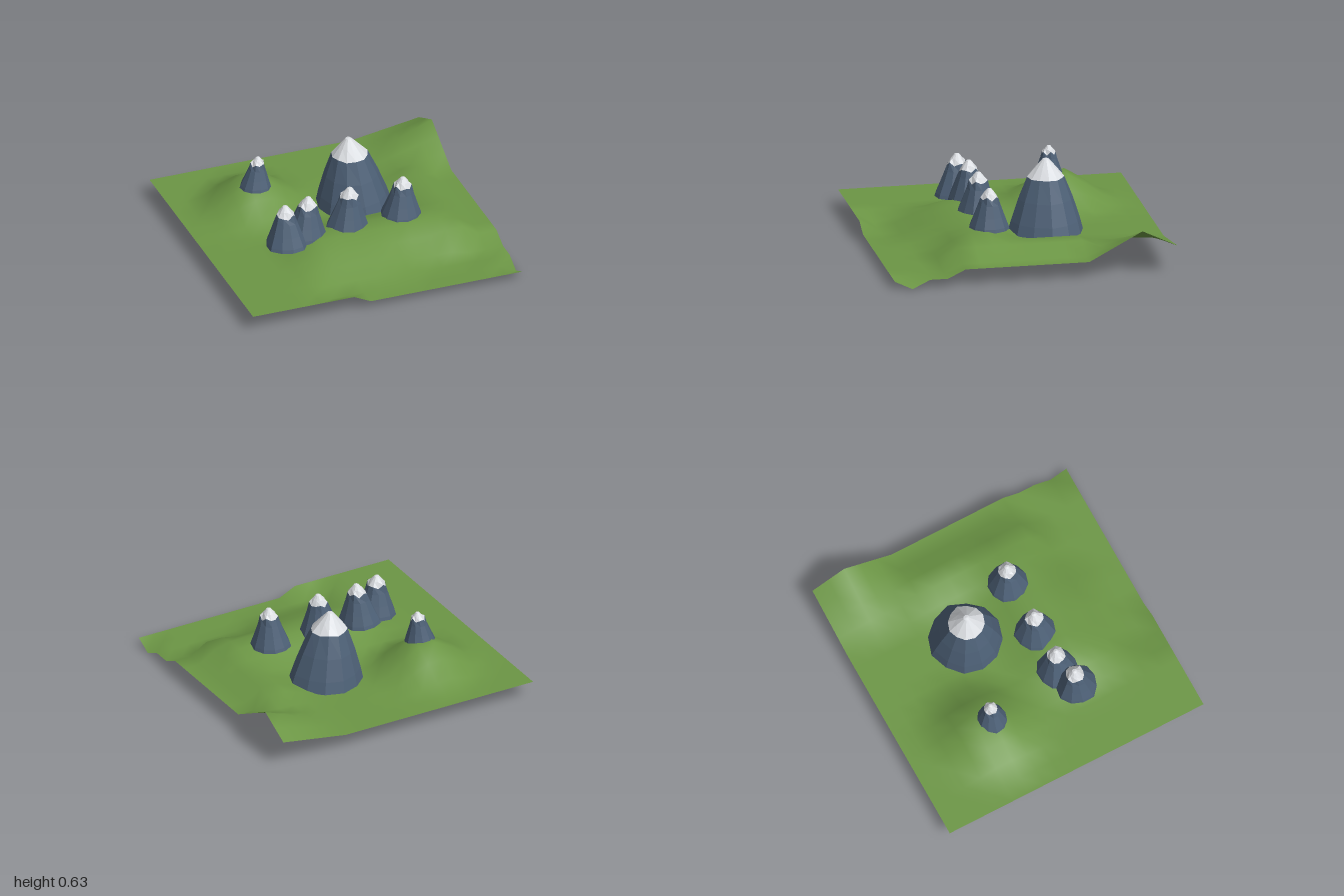
import * as THREE from 'three';

const grass = new THREE.MeshStandardMaterial({ color: 0x6c9645, side: THREE.DoubleSide });
const rock = new THREE.MeshStandardMaterial({ color: 0x4d6076 });
const snow = new THREE.MeshStandardMaterial({ color: 0xdadde1 });
grass.name = 'grass green';
rock.name = 'slate rock';
snow.name = 'snow white';

const GROUND = 0.12;
const ramp = (v, a, b) => THREE.MathUtils.clamp((v - a) / (b - a), 0, 1);
// 1 inside a rectangle, falling to 0 over the distance w outside it (wFront towards +z)
const plateau = (x, z, x0, x1, z0, z1, w, wFront = w) =>
  ramp(x, x0 - w, x0) * ramp(x, x1 + w, x1) * ramp(z, z0 - w, z0) * ramp(z, z1 + wFront, z1);

// Height of the land: raised shelf, side bank, hill, corner ridge, sunken front and a pit
function landHeight(x, z) {
  const shelf = 0.115 * plateau(x, z, -0.3, 0.62, 0.2, 0.37, 0.22, x < 0.2 ? 0.34 : 0.25);
  const bank = 0.08 * plateau(x, z, 0.58, 0.75, -0.42, 0.5, 0.125);
  const hill = 0.215 * ramp(Math.hypot(x + 0.45, z + 0.44), 0.38, 0.09);
  const ridgeSide = z > -0.75 ? ramp(z, -0.375, -0.75) : 1 - 0.6 * ramp(z, -0.75, -1);
  const ridge = 0.2 * ramp(x, 0.5, 1) * ridgeSide;
  const startX = z > 0.95 ? -0.25 : -0.5;
  const startZ = x < 0.3 ? 0.625 : 0.5;
  const hollow = 0.06 * ramp(x, startX, startX + 0.125) * ramp(z, startZ, startZ + (x > 0.7 ? 0.125 : 0.25));
  const pit = 0.06 * ramp(Math.hypot(x - 1, z - 0.875), 0.125, 0);
  return GROUND + Math.max(shelf, bank, hill, ridge) - hollow - pit;
}

function makeLand() {
  const geo = new THREE.PlaneGeometry(2, 2, 16, 16).rotateX(-Math.PI / 2);
  const p = geo.attributes.position;
  for (let i = 0; i < p.count; i++) p.setY(i, landHeight(p.getX(i), p.getZ(i)));
  geo.computeVertexNormals();
  const mesh = new THREE.Mesh(geo, grass);
  mesh.name = 'land';
  return mesh;
}

// Faceted lathe with an uneven outline; its axis leans towards the peak
function facetedLathe(profile, sides, shape, material, name) {
  const geo = new THREE.LatheGeometry(profile.map(([r, y]) => new THREE.Vector2(r, y)), sides);
  const p = geo.attributes.position;
  const rows = profile.length;
  for (let i = 0; i < p.count; i++) {
    const side = Math.floor(i / rows) % sides;
    const y = p.getY(i);
    const t = ramp(y, shape.base, shape.top);
    const k = 1 + 0.03 * Math.sin(side * 2.4 + shape.seed) + 0.02 * Math.sin(side * 4.1 + shape.seed * 3);
    // ragged snow line
    const onLine = Math.abs(y - shape.snowLine) < 1e-4;
    const jag = onLine ? shape.jag * Math.sin(side * 2.6 + shape.seed) : 0;
    p.setXYZ(i, p.getX(i) * k + shape.lean[0] * t, y + jag, p.getZ(i) * k + shape.lean[1] * t);
  }
  const flat = geo.toNonIndexed();
  flat.computeVertexNormals();
  const mesh = new THREE.Mesh(flat, material);
  mesh.name = name;
  return mesh;
}

// Profiles: radius as a share of the base radius, height as a share of the total
const peakRock = [[0, 0], [1, 0], [0.91, 0.17], [0.72, 0.46], [0.49, 0.75]];
const peakSnow = [[0.49, 0.75], [0.27, 0.88], [0.08, 0.99], [0, 1]];
const crestRock = [[0, 0], [1, 0], [0.95, 0.08], [0.76, 0.32], [0.55, 0.6], [0.44, 0.77]];
const crestSnow = [[0.44, 0.77], [0.28, 0.88], [0.12, 0.98], [0, 1]];

function makeMountain({ name, x, z, radius, base, top, lean, seed, big }) {
  const group = new THREE.Group();
  group.name = name;
  group.position.set(x, 0, z);
  const fit = (list) => list.map(([r, h]) => [r * radius, base + h * (top - base)]);
  const caps = fit(big ? peakSnow : crestSnow);
  const shape = { base, top, lean, seed, snowLine: caps[0][1], jag: big ? 0.004 : 0.015 };
  const sides = big ? 12 : 11;
  group.add(
    facetedLathe(fit(big ? peakRock : crestRock), sides, shape, rock, 'rockSlope'),
    facetedLathe(caps, sides, shape, snow, 'snowCap')
  );
  return group;
}

export function createModel() {
  const model = new THREE.Group();
  model.name = 'mountainLandscape';
  model.add(makeLand());
  const mountains = [
    { name: 'greatMountain', x: 0.215, z: -0.22, radius: 0.262, base: 0.115, top: 0.635, lean: [-0.035, -0.01], seed: 1, big: true },
    { name: 'middleMountain', x: 0, z: 0.215, radius: 0.146, base: 0.21, top: 0.515, lean: [0.02, 0], seed: 2 },
    { name: 'leftMountain', x: 0.4, z: 0.215, radius: 0.143, base: 0.222, top: 0.515, lean: [0.015, 0], seed: 3 },
    { name: 'rightMountain', x: -0.315, z: 0.22, radius: 0.147, base: 0.205, top: 0.507, lean: [0.025, 0], seed: 4 },
    { name: 'farRightMountain', x: -0.475, z: 0.28, radius: 0.148, base: 0.2, top: 0.5, lean: [-0.005, -0.015], seed: 5 },
    { name: 'hillMountain', x: -0.455, z: -0.375, radius: 0.11, base: 0.3, top: 0.532, lean: [0.02, 0], seed: 6 },
  ];
  for (const m of mountains) model.add(makeMountain(m));
  return model;
}
